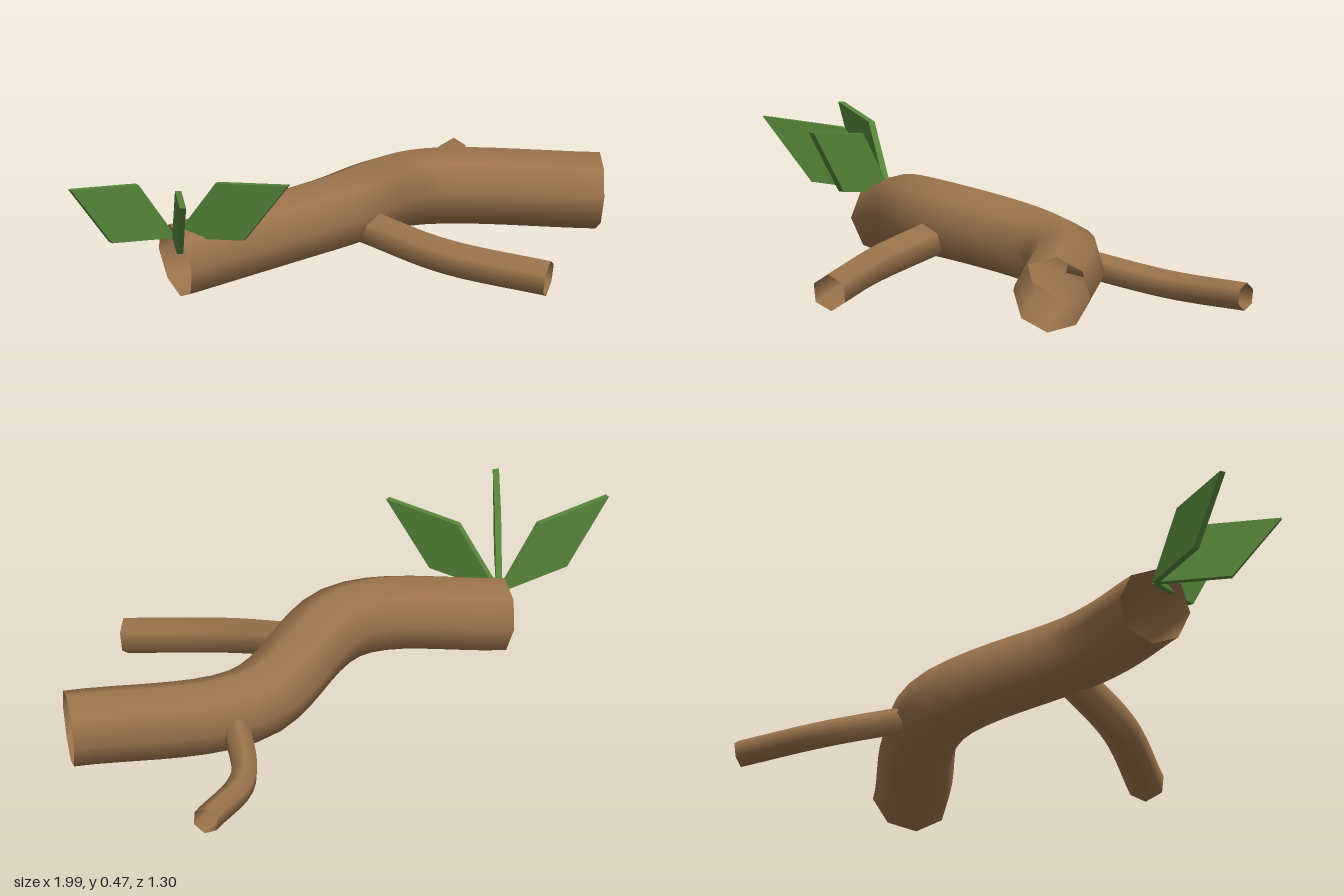
import * as THREE from 'three';

const bark = new THREE.MeshStandardMaterial({ color: 0x9b734b, side: THREE.DoubleSide });
bark.name = 'bark brown';
const green = new THREE.MeshStandardMaterial({ color: 0x568539 });
green.name = 'leaf green';

// Open tube of wood following a smooth path
function limb(name, points, radius, sides, segments) {
  const curve = new THREE.CatmullRomCurve3(points.map((p) => new THREE.Vector3(...p)));
  const mesh = new THREE.Mesh(new THREE.TubeGeometry(curve, segments, radius, sides, false), bark);
  mesh.name = name;
  return mesh;
}

// Slanted thin leaf growing outwards along local x
function leafGeometry() {
  const thickness = 0.02;
  const shape = new THREE.Shape();
  shape.moveTo(0, 0);
  shape.lineTo(0.245, 0.028);
  shape.lineTo(0.4, 0.233);
  shape.lineTo(0.145, 0.203);
  shape.closePath();
  const geo = new THREE.ExtrudeGeometry(shape, { depth: thickness, bevelEnabled: false });
  return geo.translate(0, 0, -thickness / 2);
}

export function createModel() {
  const model = new THREE.Group();
  model.name = 'fallenBranch';

  // Main log
  model.add(limb('mainLog', [
    [-0.6, 0.163, 0], [-0.086, 0.24, 0.078], [0.43, 0.17, -0.153], [0.945, 0.125, 0.075],
  ], 0.123, 8, 24));

  // Side twigs
  model.add(limb('frontTwig', [
    [0.04, 0.19, 0.1], [0.175, 0.135, 0.36], [0.405, 0.088, 0.612],
  ], 0.06, 6, 14));
  model.add(limb('backTwig', [
    [0.49, 0.165, -0.17], [0.62, 0.087, -0.45], [0.863, 0.07, -0.618],
  ], 0.045, 6, 14));

  // Fan of leaves at the left tip
  const leaves = new THREE.Group();
  leaves.name = 'leaves';
  leaves.position.set(-0.6, 0.242, 0);
  const geo = leafGeometry();
  [-60, -120, 180].forEach((degrees, i) => {
    const leaf = new THREE.Mesh(geo, green);
    leaf.name = `leaf${i + 1}`;
    leaf.rotation.y = THREE.MathUtils.degToRad(degrees);
    leaves.add(leaf);
  });
  model.add(leaves);

  return model;
}
